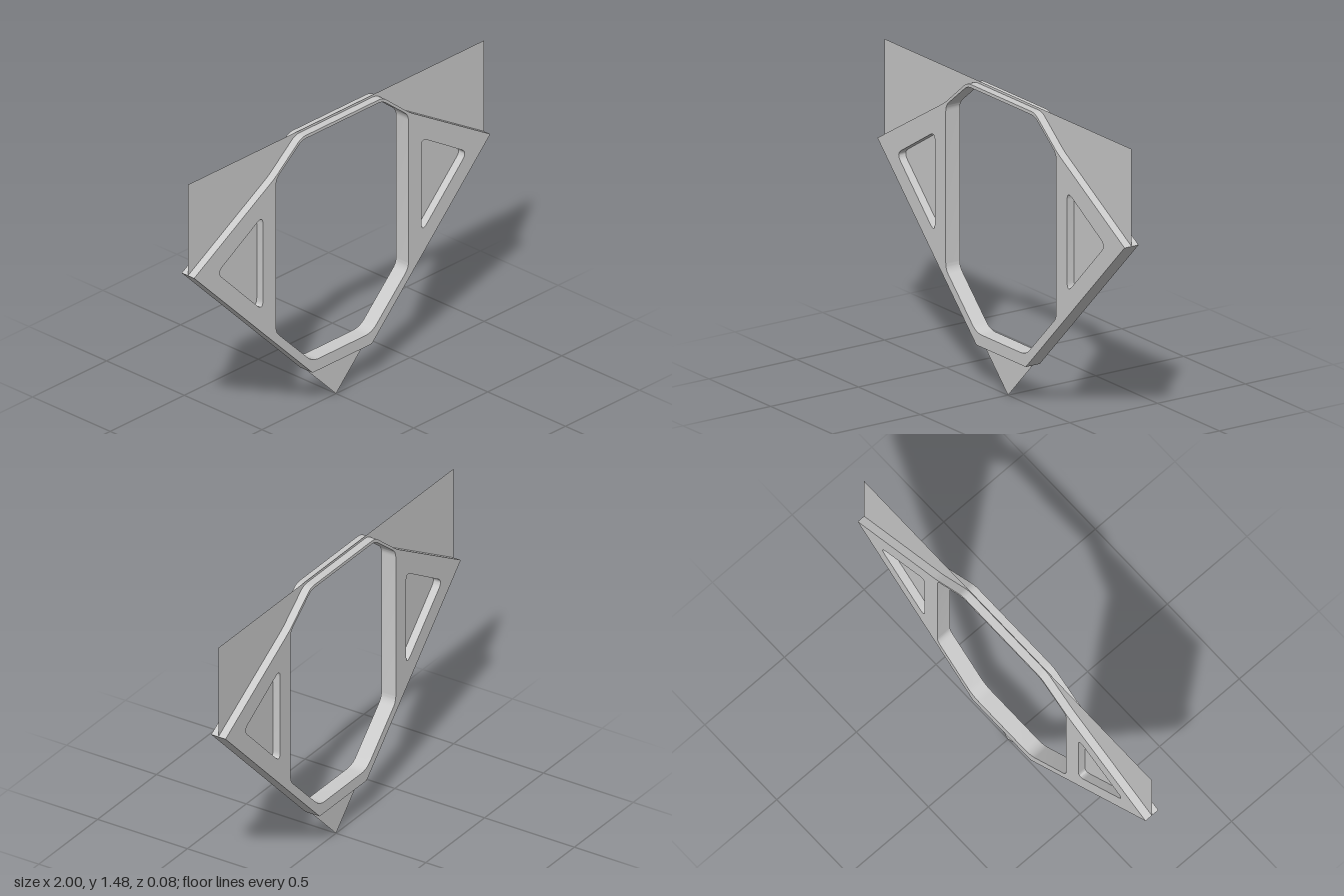
import * as THREE from 'three';
import { toCreasedNormals } from 'three/addons/utils/BufferGeometryUtils.js';

// Traces a closed polygon of [x, y, cornerSize] with rounded corners
function trace(points, path) {
  const n = points.length;
  const toward = (a, b, d) => {
    const len = Math.hypot(b[0] - a[0], b[1] - a[1]);
    return [a[0] + (b[0] - a[0]) * d / len, a[1] + (b[1] - a[1]) * d / len];
  };
  points.forEach((p, i) => {
    const r = p[2] || 0;
    const start = toward(p, points[(i + n - 1) % n], r);
    const end = toward(p, points[(i + 1) % n], r);
    if (i === 0) path.moveTo(...start);
    else path.lineTo(...start);
    if (r) path.quadraticCurveTo(p[0], p[1], ...end);
  });
  path.closePath();
  return path;
}

// Completes a right half outline (bottom to top) with its mirror image
const mirrored = (half) => [...half, ...half.map(([x, y, r]) => [-x, y, r]).reverse()];

export function createModel() {
  const model = new THREE.Group();
  const material = new THREE.MeshStandardMaterial({ color: 0xcccccc, side: THREE.DoubleSide });
  const depth = 0.08;

  const opening = mirrored([[0.2, 0.26, 0.045], [0.447, 0.505, 0.03], [0.447, 1.31, 0.03], [0.272, 1.45, 0.03]]);
  const pocket = [[0.535, 0.655, 0.055], [0.845, 0.967, 0.045], [0.535, 1.155, 0.045]];

  // Thick frame with a large central opening and two triangular pockets
  const outline = trace(
    mirrored([[0.2, 0.2], [1, 1], [0.455, 1.32, 0.03], [0.275, 1.466, 0.03]]), new THREE.Shape());
  outline.holes.push(trace(opening, new THREE.Path()));
  for (const side of [-1, 1]) {
    outline.holes.push(trace(pocket.map(([x, y, r]) => [x * side, y, r]), new THREE.Path()));
  }
  const frameGeometry = new THREE.ExtrudeGeometry(outline, { depth, bevelEnabled: false, curveSegments: 8 });
  frameGeometry.translate(0, 0, -depth / 2);
  const frame = new THREE.Mesh(toCreasedNormals(frameGeometry, 0.4), material);
  frame.name = 'frame';
  model.add(frame);

  // Thin web in the middle plane, forming the pocket floors and the corner sheets
  const sheet = trace([[0, 0], [1, 1], [1, 1.478], [-1, 1.478], [-1, 1]], new THREE.Shape());
  sheet.holes.push(trace(opening, new THREE.Path()));
  const web = new THREE.Mesh(new THREE.ShapeGeometry(sheet, 8), material);
  web.name = 'webPlate';
  model.add(web);

  return model;
}
